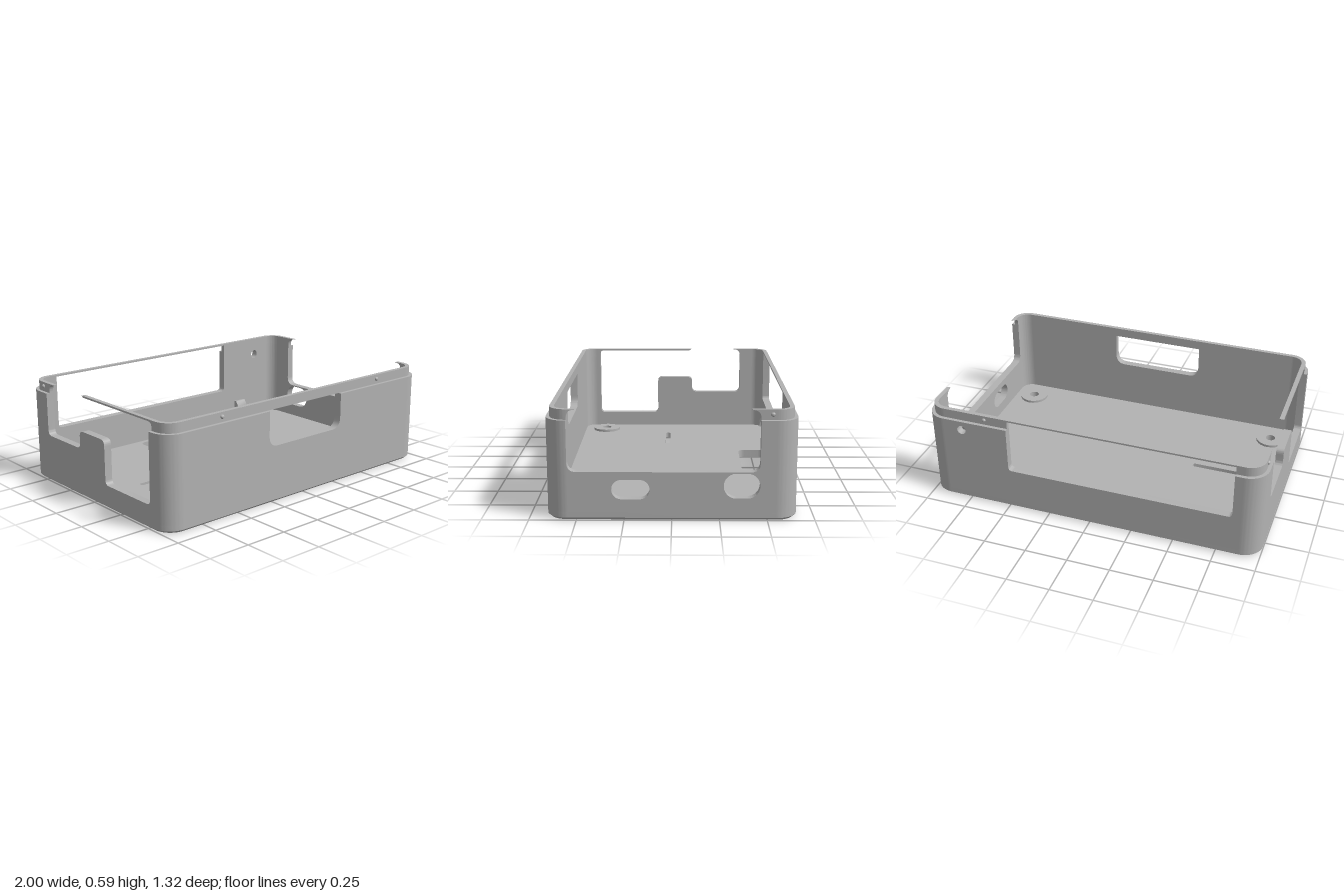
import * as THREE from 'three';
import { toCreasedNormals } from 'three/addons/utils/BufferGeometryUtils.js';

const X = 1, Z = 0.66, R = 0.115;          // outer half sizes and corner radius
const XC = X - R, ZC = Z - R;              // corner centres
const WALL = 0.045, LIP = 0.02;            // wall thickness, lip inset
const FLOOR = 0.045, SEAM = 0.535, TOP = 0.59;

// Closed outline from [u, v, radius] points; a radius rounds that corner.
function outline(pts, Type = THREE.Shape) {
  const s = new Type();
  pts.forEach(([u, v, r = 0], i) => {
    const step = ([a, b]) => {
      const d = Math.hypot(a - u, b - v) || 1;
      return [u + (a - u) / d * r, v + (b - v) / d * r];
    };
    const a = step(pts[(i + pts.length - 1) % pts.length]);
    const b = step(pts[(i + 1) % pts.length]);
    if (i === 0) s.moveTo(...a); else s.lineTo(...a);
    if (r) s.quadraticCurveTo(u, v, ...b);
  });
  s.closePath();
  return s;
}

// Rounded rectangle with true arcs.
function roundRect(u0, u1, v0, v1, r, Type = THREE.Path) {
  const s = new Type(), h = Math.PI / 2;
  s.absarc(u1 - r, v1 - r, r, 0, h);
  s.absarc(u0 + r, v1 - r, r, h, 2 * h);
  s.absarc(u0 + r, v0 + r, r, 2 * h, 3 * h);
  s.absarc(u1 - r, v0 + r, r, 3 * h, 4 * h);
  s.closePath();
  return s;
}

function circle(u, v, r) {
  return new THREE.Path().absarc(u, v, r, 0, Math.PI * 2);
}

function extrude(shape, depth) {
  return new THREE.ExtrudeGeometry(shape, { depth, bevelEnabled: false, curveSegments: 12 });
}

export function createModel() {
  const model = new THREE.Group();
  model.name = 'openCase';
  const grey = new THREE.MeshStandardMaterial({ color: 0xb2b2b2 });
  grey.name = 'grey plastic';

  const add = (name, geo) => {
    const mesh = new THREE.Mesh(toCreasedNormals(geo, 0.6), grey);
    mesh.name = name;
    model.add(mesh);
    return mesh;
  };
  // Upright panel facing z, between two depths
  const panelZ = (name, shape, z0, z1) => add(name, extrude(shape, z1 - z0).translate(0, 0, z0));
  // Upright panel facing x; the outline's u runs along z
  const panelX = (name, shape, x0, x1) =>
    add(name, extrude(shape, x1 - x0).translate(0, 0, -x1).rotateY(-Math.PI / 2));
  // Flat slab; the outline's v runs along -z
  const slab = (shape, y0, y1) => extrude(shape, y1 - y0).rotateX(-Math.PI / 2).translate(0, y0, 0);

  // Floor: chamfered underside skin with shallow recesses, then the main plate
  const vent = () => roundRect(-0.255, 0.25, 0.415, 0.585, 0.04);
  const skin = roundRect(-X, X, -Z, Z, R, THREE.Shape);
  skin.holes.push(vent(), roundRect(-0.8, 0.81, -0.385, -0.005, 0.05),
    roundRect(-0.17, 0.17, 0.325, 0.34, 0.007));
  const plate = roundRect(-X, X, -Z, Z, R, THREE.Shape);
  plate.holes.push(vent(), roundRect(-0.71, -0.425, -0.055, -0.025, 0.012));
  for (const x of [-0.82, 0.83]) {
    skin.holes.push(circle(x, -0.47, 0.05));
    plate.holes.push(circle(x, -0.47, 0.03));
  }
  const skinGeo = slab(skin, 0, 0.014);
  const p = skinGeo.attributes.position;
  for (let i = 0; i < p.count; i++) {
    const x = p.getX(i), z = p.getZ(i);
    const qx = Math.max(Math.abs(x) - XC, 0), qz = Math.max(Math.abs(z) - ZC, 0);
    if (p.getY(i) > 0.001 || Math.hypot(qx, qz) < R - 0.002) continue;
    const k = 0.016 / R;
    p.setX(i, x - Math.sign(x) * qx * k);
    p.setZ(i, z - Math.sign(z) * qz * k);
  }
  skinGeo.computeVertexNormals();
  add('underside', skinGeo);
  add('floor', slab(plate, 0.014, FLOOR));

  // Raised screw bosses
  for (const x of [-0.82, 0.83]) {
    const ring = new THREE.Shape().absarc(x, -0.47, 0.09, 0, Math.PI * 2);
    ring.holes.push(circle(x, -0.47, 0.03));
    add('screwBoss', slab(ring, FLOOR, 0.06));
  }

  // Rounded corners of wall and lip
  for (let i = 0; i < 4; i++) {
    const a = i * Math.PI / 2;
    const cx = (i === 0 || i === 3 ? 1 : -1) * XC, cy = (i < 2 ? 1 : -1) * ZC;
    const quarter = (ro) => {
      const s = new THREE.Shape();
      s.absarc(cx, cy, ro, a, a + Math.PI / 2);
      s.absarc(cx, cy, R - WALL, a + Math.PI / 2, a, true);
      s.closePath();
      return s;
    };
    add('wallCorner', slab(quarter(R), FLOOR, SEAM));
    add('lipCorner', slab(quarter(R - LIP), SEAM, TOP));
  }

  // Front wall with a port opening, closed above by the lip
  panelZ('frontWall', outline([
    [-XC, FLOOR], [XC, FLOOR], [XC, SEAM], [0.28, SEAM], [0.28, 0.33, 0.065],
    [-0.285, 0.33, 0.065], [-0.285, SEAM], [-XC, SEAM]]), Z - WALL, Z);
  panelZ('frontLip', outline([[-XC, SEAM], [XC, SEAM], [XC, TOP], [-XC, TOP]]), Z - WALL, Z - LIP);

  // Back wall with a wide opening, a round hole and a thin rail on top
  const back = outline([
    [-XC, FLOOR], [XC, FLOOR], [XC, SEAM], [0.49, SEAM], [0.49, 0.26, 0.025],
    [-0.835, 0.26, 0.025], [-0.835, SEAM], [-XC, SEAM]]);
  back.holes.push(circle(0.77, 0.48, 0.027));
  panelZ('backWall', back, -Z, -Z + WALL);
  panelZ('backLip', outline([
    [-XC, SEAM], [-0.835, SEAM], [-0.835, 0.58], [0.49, 0.58], [0.49, SEAM],
    [XC, SEAM], [XC, TOP], [-XC, TOP]]), -Z + LIP, -Z + WALL);

  // Wall on +x: open top with two oval holes below
  const left = outline([
    [-ZC, FLOOR], [ZC, FLOOR], [ZC, 0.3125], [ZC, 0.262, 0.05],
    [-0.46, 0.262, 0.05], [-0.46, SEAM], [-ZC, SEAM]]);
  left.holes.push(roundRect(0.115, 0.315, 0.115, 0.22, 0.052),
    roundRect(-0.46, -0.27, 0.12, 0.255, 0.067));
  panelX('leftWall', left, X - WALL, X);
  const hornBack = () => outline([
    [-ZC, SEAM], [-0.46, SEAM], [-0.46, 0.588, 0.045], [-0.415, 0.588], [-0.415, TOP], [-ZC, TOP]]);
  panelX('leftLipBack', hornBack(), X - WALL, X - LIP);
  panelX('leftLipFront', outline([
    [ZC, SEAM], [ZC, 0.588, 0.045], [0.5, 0.588], [0.5, TOP], [ZC, TOP]]), X - WALL, X - LIP);

  // Wall on -x: stepped opening with an upright tab and a cantilevered rail
  panelX('rightWall', outline([
    [-ZC, FLOOR], [ZC, FLOOR], [ZC, SEAM], [0.52, SEAM], [0.52, 0.135, 0.03],
    [0.115, 0.135, 0.03], [0.115, 0.39, 0.035], [-0.125, 0.39, 0.035],
    [-0.125, 0.285, 0.035], [-0.46, 0.285, 0.035], [-0.46, SEAM], [-ZC, SEAM]]), -X, -X + WALL);
  panelX('rightLipBack', hornBack(), -X + LIP, -X + WALL);
  panelX('rightLipRail', outline([
    [ZC, SEAM], [0.52, SEAM], [0.52, 0.58, 0.03], [-0.105, 0.58], [-0.12, TOP], [ZC, TOP]]),
    -X + LIP, -X + WALL);

  // Snap bumps on the lip
  const bumps = [[-0.61, Z - LIP], [0.61, Z - LIP], [0.63, -Z + LIP],
    [X - LIP, -0.52], [-X + LIP, -0.52]];
  for (const [x, z] of bumps) {
    add('snapBump', new THREE.SphereGeometry(0.012, 12, 8)).position.set(x, 0.565, z);
  }

  // Hooked clips inside the back wall
  for (const x of [-0.635, 0.63]) {
    const hook = outline([
      [-0.62, 0.08], [-0.605, 0.08], [-0.605, 0.12], [-0.58, 0.12],
      [-0.58, 0.14], [-0.6, 0.17], [-0.62, 0.17]]);
    panelX('boardClip', hook, x - 0.04, x + 0.04);
  }
  return model;
}
